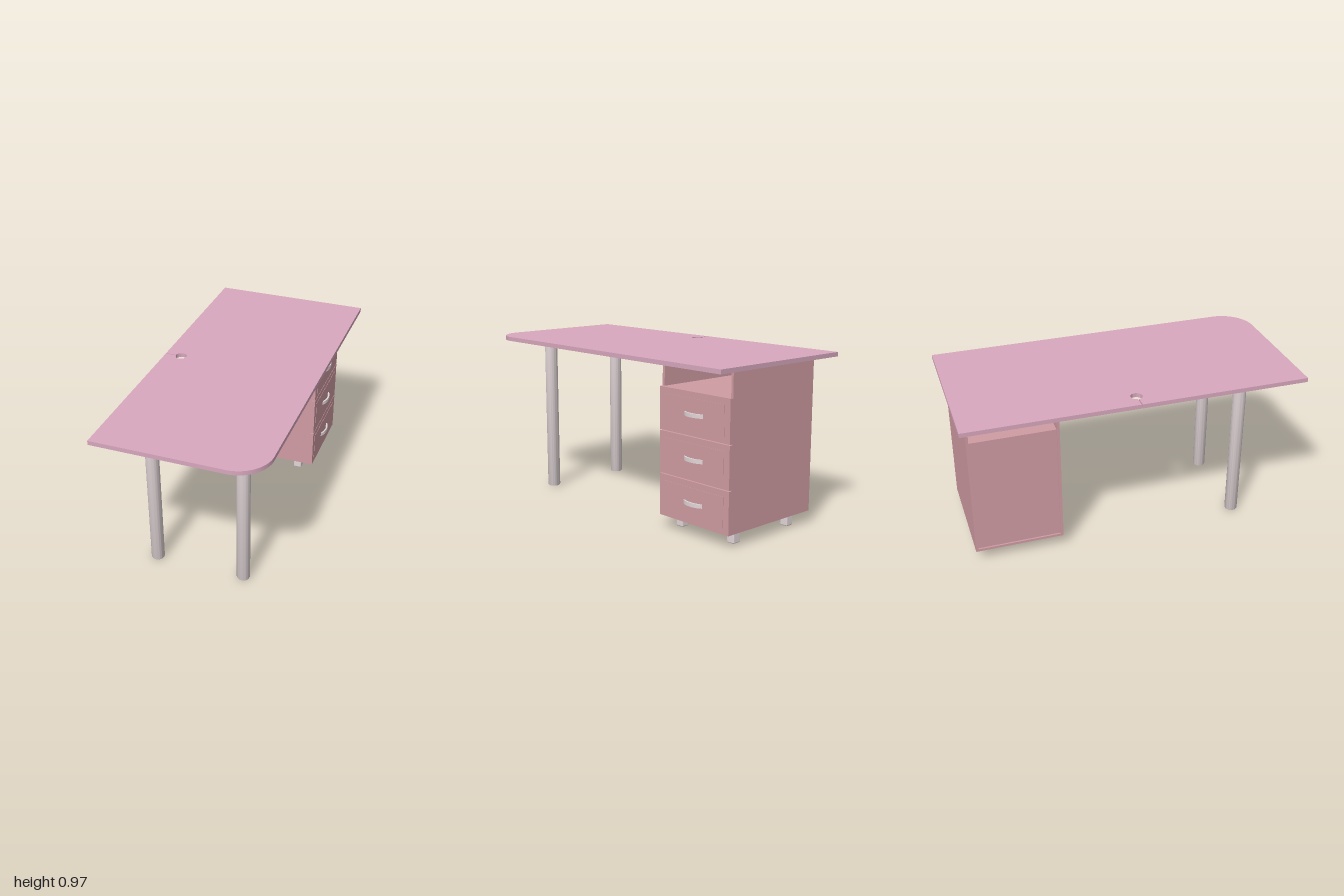
import * as THREE from 'three';
import { toCreasedNormals } from 'three/addons/utils/BufferGeometryUtils.js';
import { RoundedBoxGeometry } from 'three/addons/geometries/RoundedBoxGeometry.js';

const topMat = new THREE.MeshStandardMaterial({ color: 0xd8a8be });
const bodyMat = new THREE.MeshStandardMaterial({ color: 0xd09ca3 });
const legMat = new THREE.MeshStandardMaterial({ color: 0xe2d6d8 });

function add(parent, name, geometry, material, x = 0, y = 0, z = 0) {
  const mesh = new THREE.Mesh(geometry, material);
  mesh.name = name;
  mesh.position.set(x, y, z);
  parent.add(mesh);
  return mesh;
}

// Box given by its lower and upper limits on each axis
function slab(parent, name, [x0, x1], [y0, y1], [z0, z1]) {
  return add(parent, name, new THREE.BoxGeometry(x1 - x0, y1 - y0, z1 - z0), bodyMat,
    (x0 + x1) / 2, (y0 + y1) / 2, (z0 + z1) / 2);
}

// Desktop outline with one round corner, a cable hole and its slit
function desktopGeometry() {
  const w = 0.473, r = 0.19, holeX = -0.375, holeR = 0.034, slit = 0.003;
  const a = Math.asin(slit / holeR);
  const s = new THREE.Shape();
  s.moveTo(-w, -1);
  s.lineTo(w - r, -1);
  s.absarc(w - r, -1 + r, r, -Math.PI / 2, 0, false);
  s.lineTo(w, 1);
  s.lineTo(-w, 1);
  s.lineTo(-w, slit);
  s.absarc(holeX, 0, holeR, Math.PI - a, -Math.PI + a, true);
  s.lineTo(-w, -slit);
  const geo = new THREE.ExtrudeGeometry(s, { depth: 0.025, bevelEnabled: false, curveSegments: 32 });
  geo.rotateX(-Math.PI / 2);
  return toCreasedNormals(geo, 0.5);
}

// Bow handle: a crescent that bulges along +x and runs along z
function handleGeometry() {
  const s = new THREE.Shape();
  s.moveTo(-0.073, 0);
  s.bezierCurveTo(-0.045, 0.032, 0.045, 0.032, 0.073, 0);
  s.lineTo(0.056, 0);
  s.bezierCurveTo(0.035, 0.018, -0.035, 0.018, -0.056, 0);
  s.closePath();
  const geo = new THREE.ExtrudeGeometry(s, { depth: 0.022, bevelEnabled: false, curveSegments: 16 });
  geo.translate(0, 0, -0.011);
  geo.applyMatrix4(new THREE.Matrix4().set(0, 1, 0, 0, 0, 0, 1, 0, 1, 0, 0, 0, 0, 0, 0, 1));
  return toCreasedNormals(geo, 0.6);
}

// Round leg with a softened foot and a mounting flange
function legGeometry() {
  const profile = [[0, 0], [0.031, 0], [0.036, 0.002], [0.0385, 0.008], [0.0385, 0.943],
    [0.054, 0.943], [0.054, 0.948], [0, 0.948]].map(([x, y]) => new THREE.Vector2(x, y));
  return toCreasedNormals(new THREE.LatheGeometry(profile, 40), 0.7);
}

export function createModel() {
  const desk = new THREE.Group();
  desk.name = 'desk';

  add(desk, 'desktop', desktopGeometry(), topMat, 0, 0.948, 0);

  const leg = legGeometry();
  for (const x of [-0.271, 0.262]) add(desk, 'roundLeg', leg, legMat, x, 0, 0.676);

  // Drawer cabinet: open niche above, closed body below
  const cabinet = new THREE.Group();
  cabinet.name = 'drawerCabinet';
  desk.add(cabinet);
  const X = [-0.323, 0.326], inner = [-0.936, -0.444];
  slab(cabinet, 'frontSidePanel', X, [0.075, 0.948], [-0.444, -0.428]);
  slab(cabinet, 'rearSidePanel', X, [0.075, 0.948], [-0.951, -0.936]);
  slab(cabinet, 'bottomPanel', X, [0.075, 0.09], inner);
  slab(cabinet, 'nicheShelf', [-0.313, 0.326], [0.79, 0.805], inner);
  slab(cabinet, 'cabinetTop', X, [0.936, 0.948], inner);
  slab(cabinet, 'backPanel', [-0.313, -0.298], [0.09, 0.79], inner);

  // Three drawers with a raised field and a bow handle
  const handle = handleGeometry();
  for (let i = 0; i < 3; i++) {
    const drawer = new THREE.Group();
    drawer.name = 'drawer';
    cabinet.add(drawer);
    const y = 0.075 + i * 0.245;
    slab(drawer, 'drawerFront', [0.326, 0.346], [y, y + 0.24], [-0.951, -0.428]);
    slab(drawer, 'drawerField', [0.34, 0.348], [y + 0.035, y + 0.205], [-0.912, -0.467]);
    add(drawer, 'drawerHandle', handle, legMat, 0.346, y + 0.118, -0.69);
  }

  // Short square feet
  const foot = new RoundedBoxGeometry(0.051, 0.076, 0.051, 3, 0.007);
  for (const x of [-0.206, 0.235])
    for (const z of [-0.886, -0.497]) add(cabinet, 'cabinetFoot', foot, legMat, x, 0.038, z);

  return desk;
}
